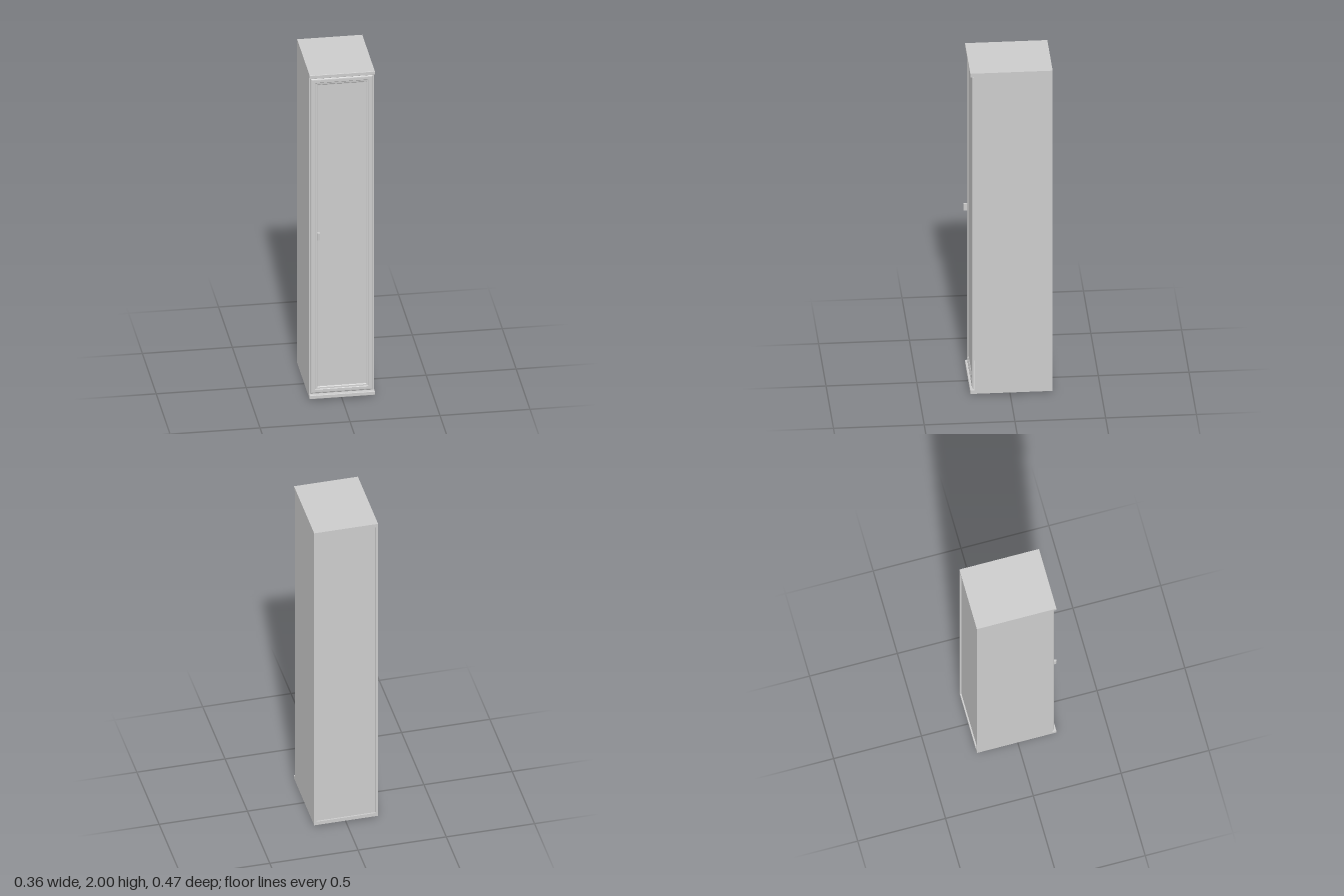
import * as THREE from 'three';

const W = 0.362, T = 0.0125, BACK = -0.234, SIDE_FRONT = 0.197, BOARD_FRONT = 0.22;
const BOTTOM = 0.012, BOARD = 0.022, TOP = 2;

const grey = new THREE.MeshStandardMaterial({ color: 0xcccccc });

function add(group, name, geometry, x = 0, y = 0, z = 0) {
  const mesh = new THREE.Mesh(geometry, grey);
  mesh.name = name;
  mesh.position.set(x, y, z);
  group.add(mesh);
  return mesh;
}

// Box given by its limits
function slab(group, name, x0, x1, y0, y1, z0, z1) {
  return add(group, name, new THREE.BoxGeometry(x1 - x0, y1 - y0, z1 - z0),
    (x0 + x1) / 2, (y0 + y1) / 2, (z0 + z1) / 2);
}

// Horizontal board with eased front edges, extruded across the width
function easedBoard(group, name, y0, y1) {
  const e = 0.003;
  const shape = new THREE.Shape();
  shape.moveTo(-BACK, y0);
  shape.lineTo(-BACK, y1);
  shape.lineTo(-BOARD_FRONT + e, y1);
  shape.quadraticCurveTo(-BOARD_FRONT, y1, -BOARD_FRONT, y1 - e);
  shape.lineTo(-BOARD_FRONT, y0 + e);
  shape.quadraticCurveTo(-BOARD_FRONT, y0, -BOARD_FRONT + e, y0);
  const geo = new THREE.ExtrudeGeometry(shape, { depth: W, bevelEnabled: false, curveSegments: 5 });
  geo.rotateY(Math.PI / 2);
  add(group, name, geo, -W / 2);
}

// Door front: nested rectangles, each set in by [inset, z], closed front and back
function mouldedPanel(w, h, profile) {
  const pos = [];
  const rect = ([inset, z]) => {
    const x = w / 2 - inset, y = h / 2 - inset;
    return [[-x, -y, z], [x, -y, z], [x, y, z], [-x, y, z]];
  };
  const quad = (a, b, c, d) => pos.push(...a, ...b, ...c, ...a, ...c, ...d);
  const rings = profile.map(rect);
  for (let r = 0; r + 1 < rings.length; r++) {
    for (let i = 0; i < 4; i++) {
      const j = (i + 1) % 4;
      quad(rings[r][i], rings[r][j], rings[r + 1][j], rings[r + 1][i]);
    }
  }
  quad(...rings[rings.length - 1]);
  quad(...[...rings[0]].reverse());
  const geo = new THREE.BufferGeometry();
  geo.setAttribute('position', new THREE.Float32BufferAttribute(pos, 3));
  geo.computeVertexNormals();
  return geo;
}

export function createModel() {
  const root = new THREE.Group();
  root.name = 'tallCabinet';

  // Carcass: boards, sides and recessed back
  const carcass = new THREE.Group();
  carcass.name = 'carcass';
  root.add(carcass);
  const y0 = BOTTOM + BOARD, y1 = TOP - BOARD;
  easedBoard(carcass, 'bottomBoard', BOTTOM, y0);
  easedBoard(carcass, 'topBoard', y1, TOP);
  for (const [name, s] of [['leftSide', 1], ['rightSide', -1]]) {
    const a = s * W / 2, b = s * (W / 2 - T);
    slab(carcass, name, Math.min(a, b), Math.max(a, b), y0, y1, BACK, SIDE_FRONT);
  }
  slab(carcass, 'backPanel', -W / 2 + T, W / 2 - T, y0, y1, BACK + 0.008, BACK + 0.013);

  // Door with stepped edge, moulded frame and sunken panel
  const door = new THREE.Group();
  door.name = 'door';
  root.add(door);
  const gap = 0.004;
  const dy0 = y0 + gap, dy1 = y1 - gap;
  add(door, 'doorLeaf', mouldedPanel(0.35, dy1 - dy0, [
    [0, 0.198], [0, 0.204], [0.003, 0.205], [0.007, 0.209], [0.011, 0.21],
    [0.026, 0.21], [0.029, 0.2075], [0.038, 0.2065], [0.042, 0.203], [0.045, 0.2025],
  ]), 0, (dy0 + dy1) / 2, 0);

  // Handle: short upright grip, rounded at the front
  const r = 0.0065, hz = 0.2265;
  const grip = new THREE.Shape();
  grip.moveTo(-r * 0.7, -0.209);
  grip.lineTo(-r, -hz);
  grip.absarc(0, -hz, r, Math.PI, 2 * Math.PI, false);
  grip.lineTo(r * 0.7, -0.209);
  const gripGeo = new THREE.ExtrudeGeometry(grip, { depth: 0.042, bevelEnabled: false, curveSegments: 16 });
  gripGeo.rotateX(-Math.PI / 2);
  add(door, 'handle', gripGeo, -0.131, 0.99, 0);

  // Four low round feet with a hollow underside
  const footProfile = [[0, 0.005], [0.01, 0.005], [0.01, 0], [0.018, 0], [0.022, 0.004], [0.022, BOTTOM]]
    .map(([x, y]) => new THREE.Vector2(x, y));
  const footGeo = new THREE.LatheGeometry(footProfile, 24);
  for (const [side, x] of [['Left', 0.142], ['Right', -0.142]]) {
    add(root, 'front' + side + 'Foot', footGeo, x, 0, 0.155);
    add(root, 'back' + side + 'Foot', footGeo, x, 0, -0.19);
  }
  return root;
}
